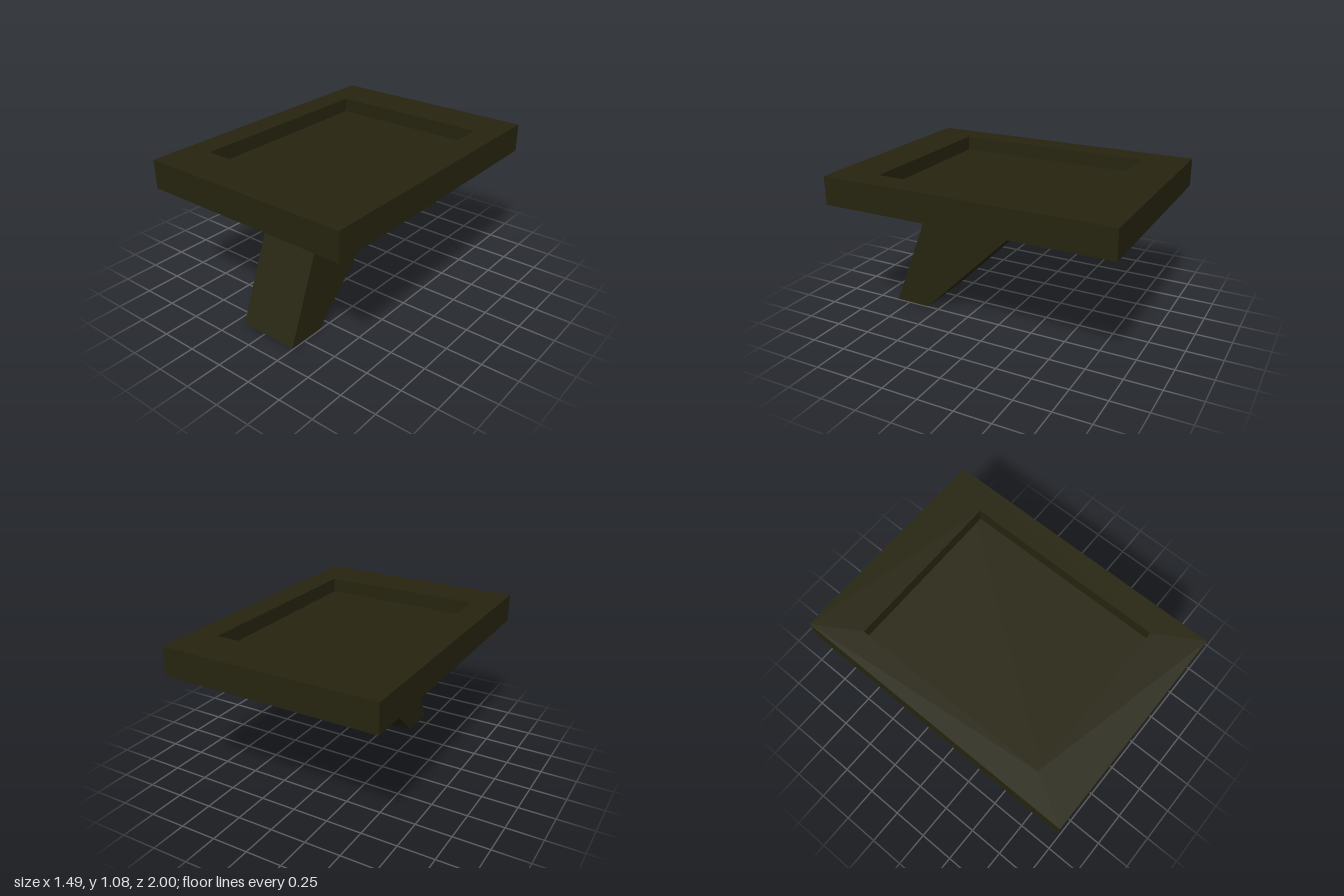
import * as THREE from 'three';

const TOP = 1.075, UNDERSIDE = 0.88, FLOOR = 0.975;

// Closed rectangle outline centred on the origin
function rectangle(PathType, halfX, halfY) {
  const p = [[-halfX, -halfY], [halfX, -halfY], [halfX, halfY], [-halfX, halfY]];
  return new PathType(p.map(([x, y]) => new THREE.Vector2(x, y)));
}

export function createModel() {
  const model = new THREE.Group();
  model.name = 'trayStand';
  const darkOlive = new THREE.MeshStandardMaterial({ color: 0x26240f });
  darkOlive.name = 'darkOlive';

  const add = (name, geometry) => {
    const mesh = new THREE.Mesh(geometry, darkOlive);
    mesh.name = name;
    model.add(mesh);
  };

  // Raised rim around the recess
  const rim = rectangle(THREE.Shape, 0.745, 1);
  rim.holes.push(rectangle(THREE.Path, 0.565, 0.697));
  add('trayRim', new THREE.ExtrudeGeometry(rim, { depth: TOP - FLOOR, bevelEnabled: false })
    .rotateX(Math.PI / 2).translate(0, TOP, 0));

  // Slab forming the recess floor and the underside
  add('trayBase', new THREE.BoxGeometry(1.49, FLOOR - UNDERSIDE, 2)
    .translate(0, (FLOOR + UNDERSIDE) / 2, 0));

  // Slanted support: side profile in (z, y), extruded across x, slightly off centre
  const profile = new THREE.Shape([[0.855, 0], [0.51, UNDERSIDE], [-0.3, UNDERSIDE], [0.59, 0]]
    .map(([z, y]) => new THREE.Vector2(z, y)));
  add('supportLeg', new THREE.ExtrudeGeometry(profile, { depth: 0.425, bevelEnabled: false })
    .rotateY(-Math.PI / 2).translate(0.242, 0, 0));

  return model;
}
